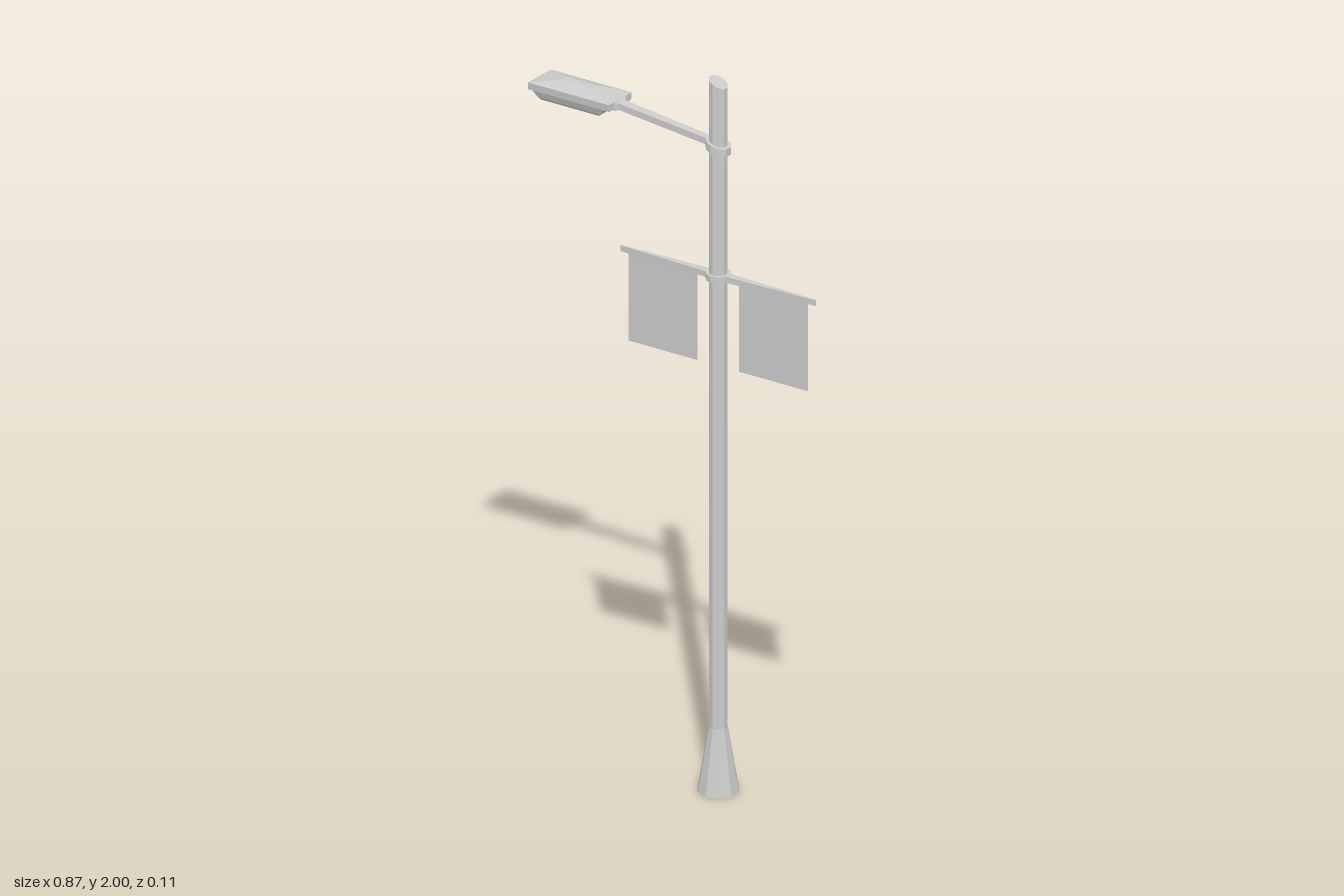
import * as THREE from 'three';

const POLE_X = 0.13;
const SIDES = 10;

export function createModel() {
  const model = new THREE.Group();
  model.name = 'streetLamp';
  const metal = new THREE.MeshStandardMaterial({ color: 0xcccccc, flatShading: true });
  const cloth = new THREE.MeshStandardMaterial({ color: 0xcccccc, side: THREE.DoubleSide });

  const add = (name, geometry, material = metal) => {
    const mesh = new THREE.Mesh(geometry, material);
    mesh.name = name;
    model.add(mesh);
    return mesh;
  };

  // Skin four-cornered rings and cap both ends
  const loft = (rings) => {
    const pos = [];
    const quad = (a, b, c, d) => pos.push(...a, ...b, ...c, ...a, ...c, ...d);
    for (let r = 0; r < rings.length - 1; r++) {
      for (let i = 0; i < 4; i++) {
        const j = (i + 1) % 4;
        quad(rings[r][i], rings[r][j], rings[r + 1][j], rings[r + 1][i]);
      }
    }
    const first = rings[0], last = rings[rings.length - 1];
    quad(first[3], first[2], first[1], first[0]);
    quad(last[0], last[1], last[2], last[3]);
    const geometry = new THREE.BufferGeometry();
    geometry.setAttribute('position', new THREE.Float32BufferAttribute(pos, 3));
    geometry.computeVertexNormals();
    return geometry;
  };

  // Cross-section facing x, for arms (half height h, half width w)
  const ringX = ([x, y, h, w]) => [[x, y - h, w], [x, y - h, -w], [x, y + h, -w], [x, y + h, w]];
  // Cross-section facing y, for the lamp head
  const ringY = ([y, x0, x1, w]) => [[x0, y, w], [x1, y, w], [x1, y, -w], [x0, y, -w]];

  // Upright cylinder on the pole axis; shear tilts its cut edges along x
  const column = (rTop, rBottom, y0, y1, shearTop = 0, shearBottom = 0) => {
    const g = new THREE.CylinderGeometry(rTop, rBottom, y1 - y0, SIDES);
    const p = g.attributes.position;
    for (let i = 0; i < p.count; i++) {
      const shear = p.getY(i) > 0 ? shearTop : shearBottom;
      p.setY(i, p.getY(i) - p.getX(i) * shear);
    }
    g.computeVertexNormals();
    return g.translate(POLE_X, (y0 + y1) / 2, 0);
  };

  // Flared foot and pole with a slanted top
  add('base', column(0.025, 0.056, 0, 0.18));
  add('pole', column(0.025, 0.025, 0.18, 1.987, 0.5));

  // Collars
  add('lampCollar', column(0.034, 0.034, 1.797, 1.819, 0.3, 0.3));
  add('bannerCollar', column(0.034, 0.034, 1.435, 1.453));

  // Lamp arm, widening into the neck of the head
  add('lampArm', loft([
    [-0.19, 1.848, 0.011, 0.028],
    [-0.178, 1.848, 0.011, 0.025],
    [-0.172, 1.846, 0.009, 0.014],
    [0.115, 1.815, 0.009, 0.011],
  ].map(ringX)));

  // Lamp head: recessed light, lower bevel, rim and shallow dome
  add('lampHead', loft([
    [1.832, -0.39, -0.245, 0.018],
    [1.811, -0.408, -0.228, 0.03],
    [1.818, -0.418, -0.22, 0.034],
    [1.838, -0.43, -0.205, 0.042],
    [1.84, -0.437, -0.182, 0.049],
    [1.86, -0.437, -0.182, 0.051],
    [1.873, -0.36, -0.27, 0.012],
  ].map(ringY)).translate(0, 0, -0.004));

  // Tapering banner arms with hanging banners, one on each side
  for (const [side, sign] of [['left', 1], ['right', -1]]) {
    const ends = [[POLE_X + sign * 0.028, 1.444, 0.008, 0.012], [POLE_X + sign * 0.307, 1.444, 0.008, 0.002]];
    if (sign < 0) ends.reverse();
    add(`${side}BannerArm`, loft(ends.map(ringX)));
    add(`${side}Banner`, new THREE.PlaneGeometry(0.218, 0.25), cloth)
      .position.set(POLE_X + sign * 0.174, 1.315, 0);
  }
  return model;
}
